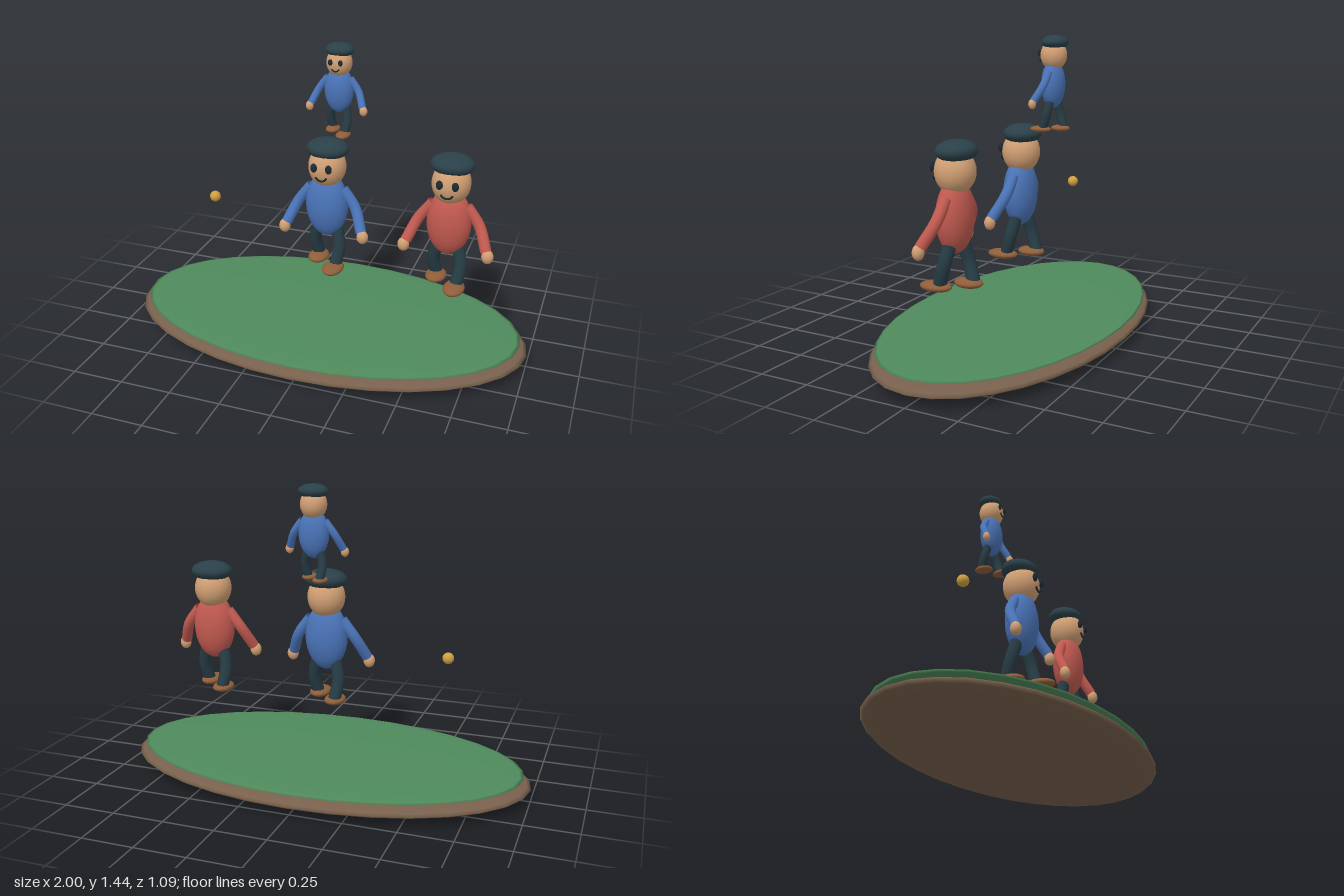
import * as THREE from 'three';

const mat = (color) => new THREE.MeshStandardMaterial({ color, side: THREE.DoubleSide });
const paint = {
  skin: mat(0xd2a074), hat: mat(0x2a4048), eye: mat(0x1c2a32), trousers: mat(0x263c44),
  shoe: mat(0x8f5e3a), blue: mat(0x4a74b8), red: mat(0xc25a50),
  grass: mat(0x4f8a5c), soil: mat(0x78604c), gold: mat(0xd0a040),
};

function add(group, name, geometry, material) {
  const mesh = new THREE.Mesh(geometry, material);
  mesh.name = name;
  group.add(mesh);
  return mesh;
}

// Ellipsoid from a centre and three radii
function blob(group, name, material, centre, radii, w = 24, h = 16) {
  const mesh = add(group, name, new THREE.SphereGeometry(1, w, h), material);
  mesh.position.set(...centre);
  mesh.scale.set(...radii);
  return mesh;
}

// Limb bent through a few points
function limb(group, name, material, points, radius) {
  const curve = new THREE.CatmullRomCurve3(points.map((p) => new THREE.Vector3(...p)));
  return add(group, name, new THREE.TubeGeometry(curve, 14, radius, 12), material);
}

// A walking figure standing on its own y = 0
function figure(name, shirt) {
  const g = new THREE.Group();
  g.name = name;

  // Trunk, head and cap
  blob(g, 'body', shirt, [0, 0.325, 0.003], [0.104, 0.163, 0.076]);
  blob(g, 'head', paint.skin, [0, 0.518, 0], [0.09, 0.1, 0.09]);
  blob(g, 'cap', paint.hat, [0, 0.605, -0.008], [0.102, 0.048, 0.088]);

  // Smile
  const smile = add(g, 'mouth', new THREE.TorusGeometry(0.03, 0.005, 8, 16, Math.PI * 0.7), paint.eye);
  smile.rotation.z = Math.PI * 1.15;
  smile.position.set(0, 0.505, 0.09);

  for (const s of [1, -1]) {
    const side = s > 0 ? 'left' : 'right';
    blob(g, side + 'Eye', paint.eye, [s * 0.036, 0.536, 0.089], [0.016, 0.022, 0.011], 14, 10);

    // Arm and hand
    limb(g, side + 'Arm', shirt,
      [[s * 0.078, 0.412, 0], [s * 0.142, 0.325, 0.008], [s * 0.187, 0.225, 0.056]], 0.026);
    blob(g, side + 'Hand', paint.skin, [s * 0.196, 0.205, 0.062], [0.028, 0.034, 0.026], 16, 12);

    // Leg and shoe: left one strides forward, right one trails
    const ankle = s > 0 ? 0.05 : -0.05;
    limb(g, side + 'Leg', paint.trousers,
      [[s * 0.045, 0.22, 0], [s * 0.068, 0.12, ankle * 0.42], [s * 0.058, 0.025, ankle]], 0.03);
    blob(g, side + 'Shoe', paint.shoe, [s * 0.054, 0.022, s > 0 ? 0.071 : -0.027],
      [0.05, 0.023, s > 0 ? 0.076 : 0.068], 20, 12);
  }
  return g;
}

export function createModel() {
  const model = new THREE.Group();
  model.name = 'figuresOverIsland';

  // Floating island
  blob(model, 'soil', paint.soil, [0, 0.057, 0], [1, 0.057, 0.545], 32, 16);
  blob(model, 'grass', paint.grass, [0, 0.105, 0], [0.965, 0.019, 0.525], 32, 16);

  // Two large figures and a small one above
  const blueFigure = figure('blueFigure', paint.blue);
  blueFigure.position.set(0, 0.378, 0);
  const redFigure = figure('redFigure', paint.red);
  redFigure.position.set(0.592, 0.378, 0);
  const smallFigure = figure('smallFigure', paint.blue);
  smallFigure.position.set(0, 0.999, -0.168);
  smallFigure.scale.setScalar(0.68);
  model.add(blueFigure, redFigure, smallFigure);

  // Ball hanging in the air
  blob(model, 'ball', paint.gold, [-0.593, 0.651, 0], [0.027, 0.027, 0.027], 18, 12);

  return model;
}
